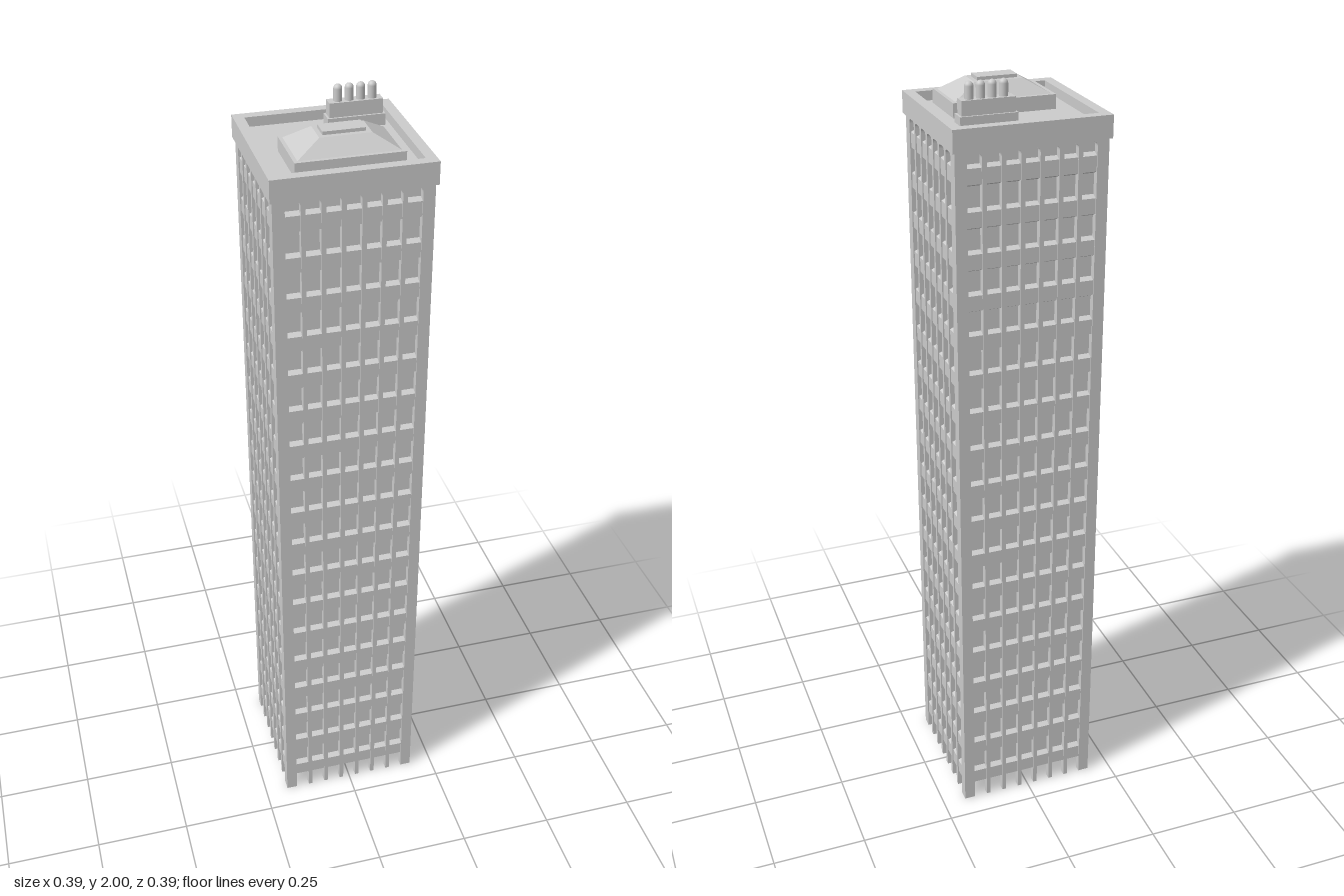
import * as THREE from 'three';

const mat = new THREE.MeshStandardMaterial({ color: 0xcccccc, flatShading: true });
const smooth = new THREE.MeshStandardMaterial({ color: 0xcccccc });

const HALF = 0.188, DEPTH = 0.018, TOP = 1.865;
const BAYS = 7, PITCH = 0.047, BAY_W = 0.036;
const FLOORS = 18, FLOOR_H = 0.102;

function add(parent, name, geometry, x = 0, y = 0, z = 0, material = mat) {
  const mesh = new THREE.Mesh(geometry, material);
  mesh.name = name;
  mesh.position.set(x, y, z);
  parent.add(mesh);
  return mesh;
}

// Box given by its x, y and z ranges
function block(parent, name, [x0, x1], [y0, y1], [z0, z1]) {
  return add(parent, name, new THREE.BoxGeometry(x1 - x0, y1 - y0, z1 - z0),
    (x0 + x1) / 2, (y0 + y1) / 2, (z0 + z1) / 2);
}

function extrude(shape, depth, curveSegments = 6) {
  return new THREE.ExtrudeGeometry(shape, { depth, bevelEnabled: false, curveSegments });
}

function rectPoints(r) {
  return [[-r, -r], [r, -r], [r, r], [-r, r]].map(([x, y]) => new THREE.Vector2(x, y));
}

// Square ring lying flat, from y0 to y1
function ring(parent, name, outer, inner, y0, y1) {
  const shape = new THREE.Shape(rectPoints(outer));
  shape.holes.push(new THREE.Path(rectPoints(inner)));
  const geo = extrude(shape, y1 - y0);
  geo.rotateX(-Math.PI / 2);
  return add(parent, name, geo, 0, y0, 0);
}

const bayX = (i) => (i - (BAYS - 1) / 2) * PITCH;

// Comb of piers: bays open at the ground and arched at the top
function pierGeometry() {
  const r = 0.012, w = BAY_W / 2, archTop = 1.857;
  const s = new THREE.Shape();
  s.moveTo(-HALF, 0);
  for (let i = 0; i < BAYS; i++) {
    const x = bayX(i);
    s.lineTo(x - w, 0);
    s.lineTo(x - w, archTop - r);
    s.quadraticCurveTo(x - w, archTop, x - w + r, archTop);
    s.lineTo(x + w - r, archTop);
    s.quadraticCurveTo(x + w, archTop, x + w, archTop - r);
    s.lineTo(x + w, 0);
  }
  s.lineTo(HALF, 0);
  s.lineTo(HALF, TOP);
  s.lineTo(-HALF, TOP);
  s.closePath();
  return extrude(s, DEPTH);
}

// Spandrel with sloping sill and soffit, running along x
function spandrelGeometry() {
  const s = new THREE.Shape();
  s.moveTo(0, -0.026);
  s.lineTo(0.015, -0.019);
  s.lineTo(0.015, 0.019);
  s.lineTo(0, 0.026);
  s.closePath();
  const geo = extrude(s, BAY_W);
  geo.translate(0, 0, -BAY_W / 2);
  geo.rotateY(-Math.PI / 2);
  return geo;
}

// Four-sided frustum with rectangular bottom and top
function hipGeometry(w0, d0, w1, d1, h) {
  const geo = new THREE.BoxGeometry(w0, h, d0);
  const p = geo.attributes.position;
  for (let i = 0; i < p.count; i++) {
    if (p.getY(i) > 0) p.setXYZ(i, p.getX(i) * w1 / w0, h, p.getZ(i) * d1 / d0);
    else p.setY(i, 0);
  }
  geo.computeVertexNormals();
  return geo;
}

export function createModel() {
  const model = new THREE.Group();
  model.name = 'tower';

  // Glazed core and the stepped lobby under it
  const c = HALF - DEPTH + 0.001;
  block(model, 'core', [-c, c], [0.045, 1.88], [-c, c]);
  [[0.14, 0.03], [0.11, 0.015], [0.08, 0]].forEach(([r, y]) =>
    block(model, 'lobbyStep', [-r, r], [y, 0.05], [-r, r]));

  // Four equal facades
  const piers = pierGeometry(), spandrel = spandrelGeometry();
  for (let side = 0; side < 4; side++) {
    const facade = new THREE.Group();
    facade.name = 'facade';
    facade.rotation.y = side * Math.PI / 2;
    add(facade, 'piers', piers, 0, 0, HALF - DEPTH);
    const panels = new THREE.InstancedMesh(spandrel, mat, 0);
    panels.dispose();
    for (let i = 0; i < BAYS; i++) {
      for (let f = 0; f < FLOORS; f++) {
        add(facade, 'spandrel', spandrel, bayX(i), 0.07 + f * FLOOR_H, HALF - DEPTH);
      }
    }
    model.add(facade);
  }

  // Parapet round a sunken roof
  ring(model, 'parapet', 0.194, 0.168, 1.862, 1.917);
  block(model, 'roofDeck', [-0.17, 0.17], [1.865, 1.893], [-0.17, 0.17]);

  // Hipped plant room
  block(model, 'plantRoomBase', [-0.125, 0.132], [1.89, 1.928], [-0.013, 0.145]);
  add(model, 'plantRoomRoof', hipGeometry(0.239, 0.139, 0.122, 0.07, 0.034), 0.0035, 1.928, 0.066);
  block(model, 'plantRoomCap', [-0.047, 0.053], [1.955, 1.97], [0.043, 0.089]);

  // Row of flues on a stepped plinth
  block(model, 'fluePlinth', [0.013, 0.153], [1.89, 1.925], [-0.127, -0.087]);
  add(model, 'flueBase', hipGeometry(0.13, 0.03, 0.13, 0.03, 0.035), 0.083, 1.925, -0.107);
  const flue = new THREE.CapsuleGeometry(0.0105, 0.04, 6, 16);
  for (let i = 0; i < 4; i++) {
    add(model, 'flue', flue, 0.042 + i * 0.0277, 1.9695, -0.107, smooth);
  }
  return model;
}
